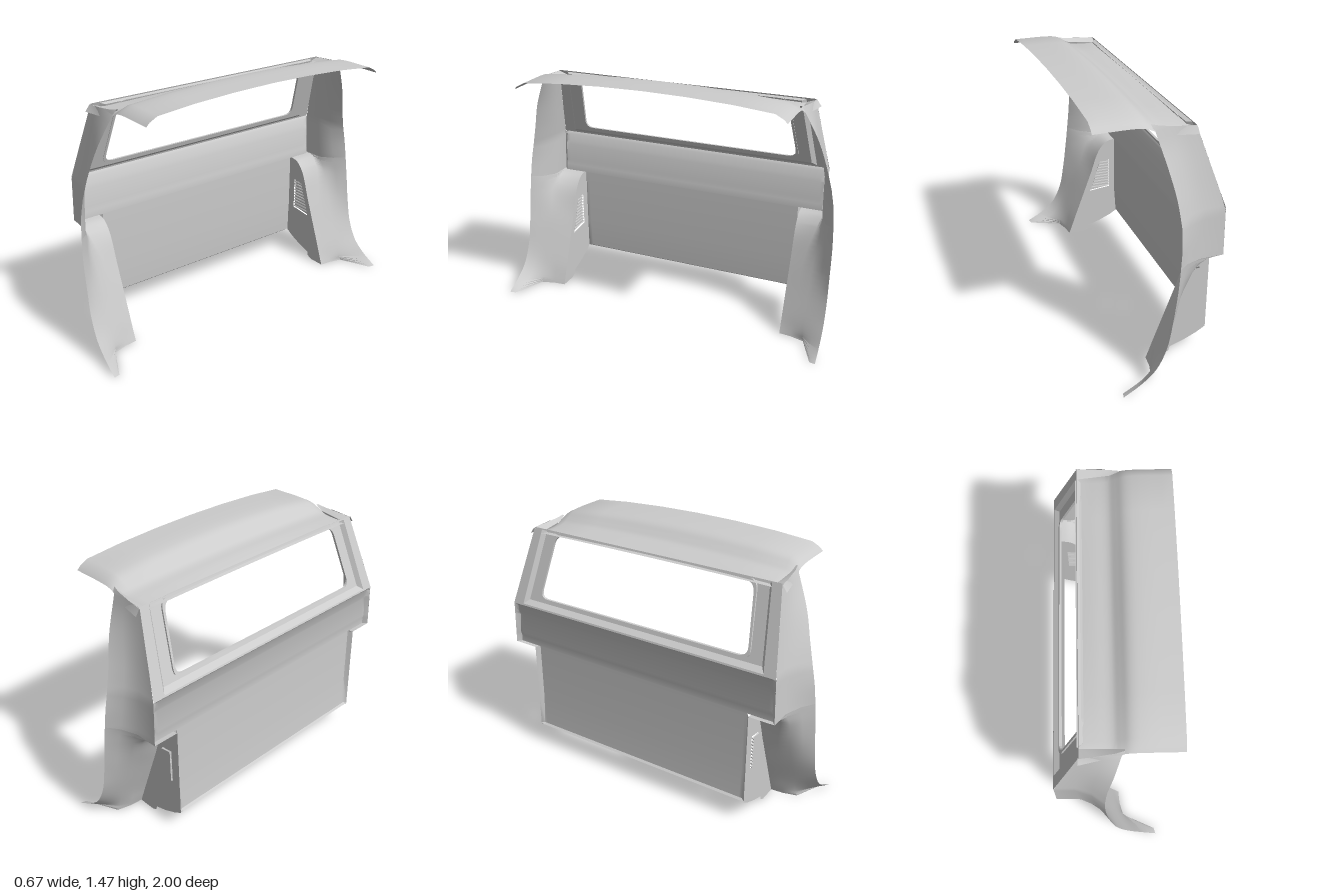
import * as THREE from 'three';
import { toCreasedNormals } from 'three/addons/utils/BufferGeometryUtils.js';

const material = new THREE.MeshStandardMaterial({ color: 0xcccccc, side: THREE.DoubleSide });

function addMesh(parent, name, geometry) {
  const mesh = new THREE.Mesh(geometry, material);
  mesh.name = name;
  parent.add(mesh);
  return mesh;
}

// Sheet through rows of [x, y, z] points
function sheet(rows, flip = false, crease = 0.6) {
  const n = rows[0].length, index = [];
  for (let i = 0; i < rows.length - 1; i++) {
    for (let j = 0; j < n - 1; j++) {
      const a = i * n + j, b = a + 1, c = a + n, d = c + 1;
      if (flip) index.push(a, b, c, b, d, c);
      else index.push(a, c, b, b, c, d);
    }
  }
  const geometry = new THREE.BufferGeometry();
  geometry.setAttribute('position', new THREE.Float32BufferAttribute(rows.flat(2), 3));
  geometry.setIndex(index);
  geometry.computeVertexNormals();
  return toCreasedNormals(geometry, crease);
}

// Refine rows by running a smooth curve down each column
function refine(rows, steps) {
  const curves = rows[0].map((_, j) =>
    new THREE.CatmullRomCurve3(rows.map(r => new THREE.Vector3(...r[j]))));
  return Array.from({ length: steps + 1 }, (_, i) =>
    curves.map(c => c.getPoint(i / steps).toArray()));
}

const mirrorRows = (rows, s) => rows.map(r => r.map(([x, y, z]) => [x, y, z * s]));
const vectors = pts => pts.map(p => new THREE.Vector2(...p));
const polygon = pts => new THREE.Shape(vectors(pts));

// Rear wall lean above the belt line
const slantX = y => -0.332 + (y - 0.94) * 0.345;

// Window outline with rounded corners, as (z, y)
function windowPath(grow, Type) {
  const corners = [[-0.69, 1.0], [0.69, 1.0], [0.645, 1.36], [-0.645, 1.36]]
    .map(([z, y]) => new THREE.Vector2(z + Math.sign(z) * grow, y + Math.sign(y - 1.1) * grow));
  const path = new Type();
  corners.forEach((p, i) => {
    const toward = q => p.clone().add(q.clone().sub(p).setLength(0.055));
    const a = toward(corners[(i + 3) % 4]), b = toward(corners[(i + 1) % 4]);
    if (i) path.lineTo(a.x, a.y); else path.moveTo(a.x, a.y);
    path.quadraticCurveTo(p.x, p.y, b.x, b.y);
  });
  path.closePath();
  return path;
}

// Stand a (z, y) geometry up along the leaning wall
function lean(geometry, offset) {
  geometry.rotateY(Math.PI / 2);
  const p = geometry.attributes.position;
  for (let i = 0; i < p.count; i++) p.setX(i, p.getX(i) + slantX(p.getY(i)) + offset);
  geometry.computeVertexNormals();
  return geometry;
}

function rearWall() {
  const group = new THREE.Group();
  group.name = 'rearWall';
  const strip = (profile, width) => sheet(profile.map(([x, y]) =>
    [-1, -0.975, -0.95, 0, 0.95, 0.975, 1].map(k =>
      [Math.abs(k) > 0.98 ? -0.33 : x, y, k * width(y)])));
  // Lower wall, set forward between the side boxes
  addMesh(group, 'lowerWall', strip(
    [[-0.33, 0.135], [-0.318, 0.145], [-0.305, 0.32], [-0.304, 0.68]], () => 0.73));
  // Soft ribbed belt below the window
  addMesh(group, 'beltPanel', strip(
    [[-0.304, 0.68], [-0.305, 0.72], [-0.312, 0.745], [-0.305, 0.86], [-0.315, 0.88],
      [-0.32, 0.925], [-0.332, 0.94]], y => 0.88 - (y - 0.68) * 0.03));
  // Leaning outer frame, bevel and recessed window panel
  const outer = [[-0.872, 0.94], [0.872, 0.94], [0.8, 1.385], [-0.8, 1.385]];
  const rim = [[-0.8, 0.95], [0.8, 0.95], [0.745, 1.378], [-0.745, 1.378]];
  const inner = [[-0.775, 0.972], [0.775, 0.972], [0.725, 1.372], [-0.725, 1.372]];
  const depth = 0.025;
  const frame = polygon(outer);
  frame.holes.push(new THREE.Path(vectors(rim)));
  addMesh(group, 'windowFrame', lean(new THREE.ShapeGeometry(frame), 0));
  const place = (offset) => ([z, y]) => [slantX(y) + offset, y, z];
  addMesh(group, 'windowBevel', sheet([
    [...rim, rim[0]].map(place(0)), [...inner, inner[0]].map(place(depth))]));
  const panel = polygon(inner);
  panel.holes.push(windowPath(0.012, THREE.Path));
  addMesh(group, 'windowPanel', lean(new THREE.ShapeGeometry(panel, 6), depth));
  // Raised lip around the opening
  const lip = windowPath(0.014, THREE.Shape);
  lip.holes.push(windowPath(0, THREE.Path));
  addMesh(group, 'windowLip', lean(
    new THREE.ExtrudeGeometry(lip, { depth: 0.014, bevelEnabled: false, curveSegments: 6 }), depth - 0.01));
  return group;
}

function roof() {
  // Centre line x, y and the drop to the outer edge
  const profile = [[-0.188, 1.364, 0.01], [-0.15, 1.374, 0.025], [-0.09, 1.386, 0.04], [-0.01, 1.398, 0.045],
    [0.03, 1.425, 0.055], [0.07, 1.455, 0.068], [0.12, 1.47, 0.076], [0.34, 1.472, 0.078]];
  const across = [[-0.785, 1], [-0.765, 0.75], [-0.72, 0.45], [-0.5, 0.2], [-0.25, 0.05], [0, 0]];
  const full = [...across, ...across.slice(0, -1).reverse().map(([z, d]) => [-z, d])];
  return sheet(refine(profile.map(([x, y, drop]) =>
    full.map(([z, d]) => [x, y - d * drop, z])), 28), false, 0.7);
}

function sidePillar(s) {
  const group = new THREE.Group();
  group.name = s > 0 ? 'leftPillar' : 'rightPillar';
  // Upper pillar, rear edge to door edge
  const seam = [[-0.33, 0.68, 0.88], [-0.2, 0.68, 0.882], [-0.11, 0.69, 0.922], [-0.05, 0.7, 0.978]];
  const belt = [[-0.33, 0.93, 0.872], [-0.22, 0.93, 0.872], [-0.13, 0.925, 0.9], [-0.06, 0.92, 0.948]];
  const lower = [seam, [[-0.33, 0.8, 0.876], [-0.21, 0.8, 0.876], [-0.12, 0.8, 0.913], [-0.058, 0.81, 0.968]], belt];
  const upper = [belt,
    [[-0.294, 1.05, 0.854], [-0.2, 1.05, 0.853], [-0.12, 1.05, 0.875], [-0.045, 1.05, 0.915]],
    [[-0.242, 1.2, 0.83], [-0.17, 1.2, 0.83], [-0.09, 1.2, 0.846], [-0.012, 1.2, 0.87]],
    [[-0.18, 1.38, 0.80], [-0.12, 1.385, 0.80], [-0.05, 1.39, 0.797], [0.03, 1.375, 0.79]]];
  const rows = [...refine(lower, 8), ...refine(upper, 14).slice(1)];
  addMesh(group, 'upperPillar', sheet(mirrorRows(rows, s), s < 0, 0.8));
  // Rounded shelf, sloping band and flared foot
  const foot = [
    [[-0.33, 0.68, 0.73], ...seam],
    [[-0.255, 0.665, 0.73], [-0.25, 0.665, 0.87], [-0.18, 0.65, 0.882], [-0.1, 0.65, 0.925], [-0.046, 0.65, 0.981]],
    [[-0.2, 0.605, 0.73], [-0.185, 0.605, 0.85], [-0.15, 0.59, 0.885], [-0.085, 0.58, 0.93], [-0.038, 0.57, 0.985]],
    [[-0.14, 0.44, 0.73], [-0.118, 0.44, 0.81], [-0.095, 0.44, 0.872], [-0.058, 0.42, 0.935], [-0.018, 0.41, 0.987]],
    [[-0.07, 0.25, 0.73], [-0.05, 0.25, 0.80], [-0.03, 0.25, 0.868], [-0.01, 0.25, 0.935], [0.012, 0.25, 0.99]],
    [[-0.022, 0.12, 0.73], [-0.005, 0.12, 0.80], [0.015, 0.12, 0.868], [0.042, 0.125, 0.938], [0.07, 0.13, 0.993]],
    [[0.003, 0.05, 0.73], [0.015, 0.045, 0.80], [0.04, 0.045, 0.87], [0.1, 0.05, 0.94], [0.15, 0.06, 0.996]],
    [[0.022, 0, 0.73], [0.028, 0, 0.80], [0.05, 0, 0.88], [0.24, 0, 0.965], [0.25, 0.003, 1.0]]];
  const footRows = refine(foot, 35);
  addMesh(group, 'lowerPillar', sheet(mirrorRows(footRows, s), s > 0, 0.8));
  // Inner face of the lower box, following the same ridge
  const ridge = footRows.map(r => [r[0][0], r[0][1]]);
  const face = polygon([...ridge, [-0.085, 0], [-0.115, 0.015], [-0.12, 0.04], [-0.2, 0.065],
    [-0.28, 0.1], [-0.33, 0.13]]);
  const vent = [[-0.275, 0.325], [-0.135, 0.31], [-0.205, 0.52], [-0.275, 0.53]];
  face.holes.push(new THREE.Path(vectors(vent)));
  addMesh(group, 'boxFace', new THREE.ShapeGeometry(face)).position.z = 0.73 * s;
  // Slatted vent
  addMesh(group, 'ventBacking', new THREE.ShapeGeometry(polygon(vent))).position.z = 0.742 * s;
  for (let i = 0; i < 10; i++) {
    const y = 0.335 + i * 0.02, right = -0.14 - (y - 0.315) * 0.33;
    const slat = addMesh(group, 'ventSlat', new THREE.BoxGeometry(right + 0.273, 0.007, 0.012));
    slat.position.set((right - 0.273) / 2, y, 0.735 * s);
    slat.rotation.x = 0.4 * s;
  }
  // Gutter cap joining pillar and roof
  addMesh(group, 'roofCap', sheet(mirrorRows([
    [[-0.185, 1.345, 0.83], [-0.1, 1.345, 0.812], [0, 1.35, 0.797], [0.04, 1.385, 0.788]],
    [[-0.183, 1.38, 0.805], [-0.1, 1.385, 0.797], [0, 1.395, 0.785], [0.045, 1.405, 0.775]],
    [[-0.18, 1.362, 0.75], [-0.1, 1.368, 0.755], [0, 1.378, 0.76], [0.045, 1.402, 0.765]]], s), s < 0));
  return group;
}

export function createModel() {
  const model = new THREE.Group();
  model.name = 'cabRearShell';
  model.add(rearWall(), sidePillar(1), sidePillar(-1));
  addMesh(model, 'roofPanel', roof());
  return model;
}
